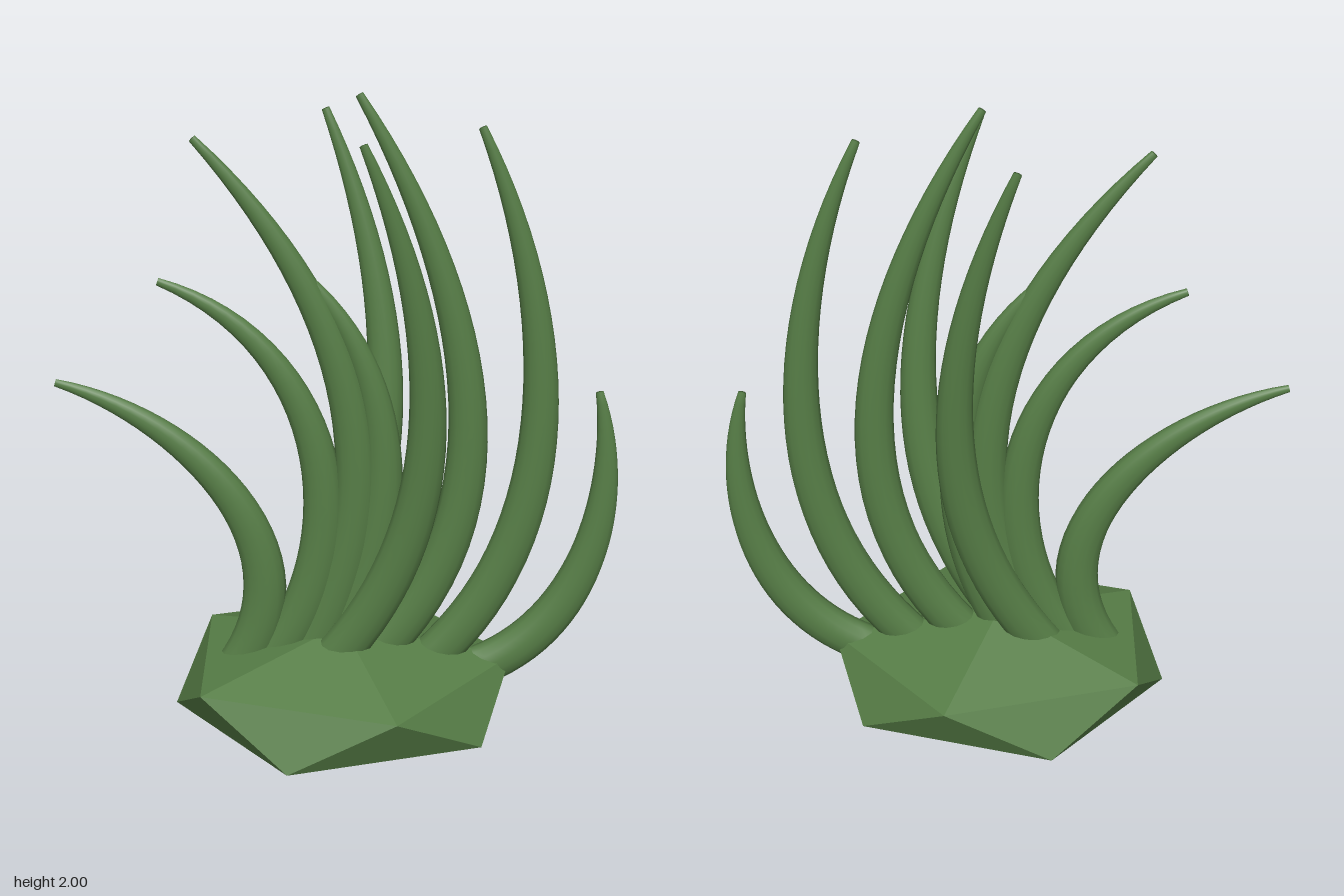
import * as THREE from 'three';

const SIDES = 14, STEPS = 28, ROOT_RADIUS = 0.067, TIP_RADIUS = 0.011;

// Cubic Bezier passing through four points at t = 0, 1/3, 2/3 and 1
function curveThrough(a, b, c, d) {
  const control = (p, q, r, s) => p.clone().multiplyScalar(-5)
    .addScaledVector(q, 18).addScaledVector(r, -9).addScaledVector(s, 2).divideScalar(6);
  return new THREE.CubicBezierCurve3(a, control(a, b, c, d), control(d, c, b, a), d);
}

// Curved horn: flattened oval rings swept along a curve, tapering to a closed tip
function tendrilGeometry(curve) {
  const pos = [], idx = [];
  for (let s = 0; s <= STEPS; s++) {
    const t = s / STEPS;
    const p = curve.getPointAt(t), d = curve.getTangentAt(t);
    const n = new THREE.Vector3(-d.y, d.x, 0).normalize();
    const r = TIP_RADIUS + (ROOT_RADIUS - TIP_RADIUS) * (1 - t * t);
    for (let i = 0; i < SIDES; i++) {
      const angle = i / SIDES * Math.PI * 2, c = Math.cos(angle) * r;
      pos.push(p.x + n.x * c, p.y + n.y * c, p.z + Math.sin(angle) * r * 0.7);
      if (s < STEPS) {
        const j = (i + 1) % SIDES, k = s * SIDES;
        idx.push(k + i, k + j, k + SIDES + j, k + i, k + SIDES + j, k + SIDES + i);
      }
    }
  }
  const end = curve.getPointAt(1), last = STEPS * SIDES;
  pos.push(end.x, end.y, end.z);
  for (let i = 0; i < SIDES; i++) idx.push(last + i, last + (i + 1) % SIDES, last + SIDES);
  const g = new THREE.BufferGeometry();
  g.setAttribute('position', new THREE.Float32BufferAttribute(pos, 3));
  g.setIndex(idx);
  g.computeVertexNormals();
  return g;
}

export function createModel() {
  const model = new THREE.Group();
  model.name = 'spikyPlant';
  const color = 0x567d46;
  const smooth = new THREE.MeshStandardMaterial({ color });
  const faceted = new THREE.MeshStandardMaterial({ color, flatShading: true });

  // Faceted base: icosahedron turned onto a corner and squashed
  const baseGeo = new THREE.IcosahedronGeometry(1, 0);
  baseGeo.rotateZ(-Math.atan(2 / (1 + Math.sqrt(5))));
  baseGeo.scale(0.57, 0.196, 0.425);
  baseGeo.translate(0.012, 0.197, 0);
  const base = new THREE.Mesh(baseGeo, faceted);
  base.name = 'base';
  model.add(base);

  // Each tendril: root, two points on the way and tip in x/y; those with a lean spread from rootZ to tipZ
  function addTendril(name, path, rootZ = 0, tipZ = 0) {
    const rootY = path[0][1], height = path[3][1] - rootY;
    const points = path.map(([x, y]) =>
      new THREE.Vector3(x, y, rootZ + (tipZ - rootZ) * (y - rootY) / height));
    const mesh = new THREE.Mesh(tendrilGeometry(curveThrough(...points)), smooth);
    mesh.name = name;
    model.add(mesh);
  }
  addTendril('farRightTendril', [[-0.31, 0.24], [-0.23, 0.64], [-0.435, 0.98], [-0.79, 1.185]]);
  addTendril('rightTendril', [[-0.2, 0.28], [-0.045, 0.72], [-0.135, 1.175], [-0.49, 1.485]]);
  addTendril('tallRightTendril', [[-0.1, 0.28], [0.05, 0.84], [-0.05, 1.38], [-0.38, 1.88]]);
  addTendril('shortMiddleTendril', [[-0.02, 0.3], [0.115, 0.71], [0.1, 1.15], [-0.12, 1.53]]);
  addTendril('tallestTendril', [[0.1, 0.28], [0.355, 0.83], [0.305, 1.43], [0.055, 1.995]]);
  addTendril('leftTendril', [[0.27, 0.27], [0.535, 0.78], [0.545, 1.36], [0.375, 1.91]]);
  addTendril('farLeftTendril', [[0.43, 0.25], [0.67, 0.485], [0.762, 0.82], [0.73, 1.16]]);
  addTendril('frontTendril', [[-0.02, 0.3], [0.215, 0.81], [0.227, 1.36], [0.065, 1.91]], 0.05, 0.175);
  addTendril('backTendril', [[-0.12, 0.3], [0.105, 0.82], [0.115, 1.37], [-0.035, 1.91]], -0.05, -0.195);
  return model;
}
